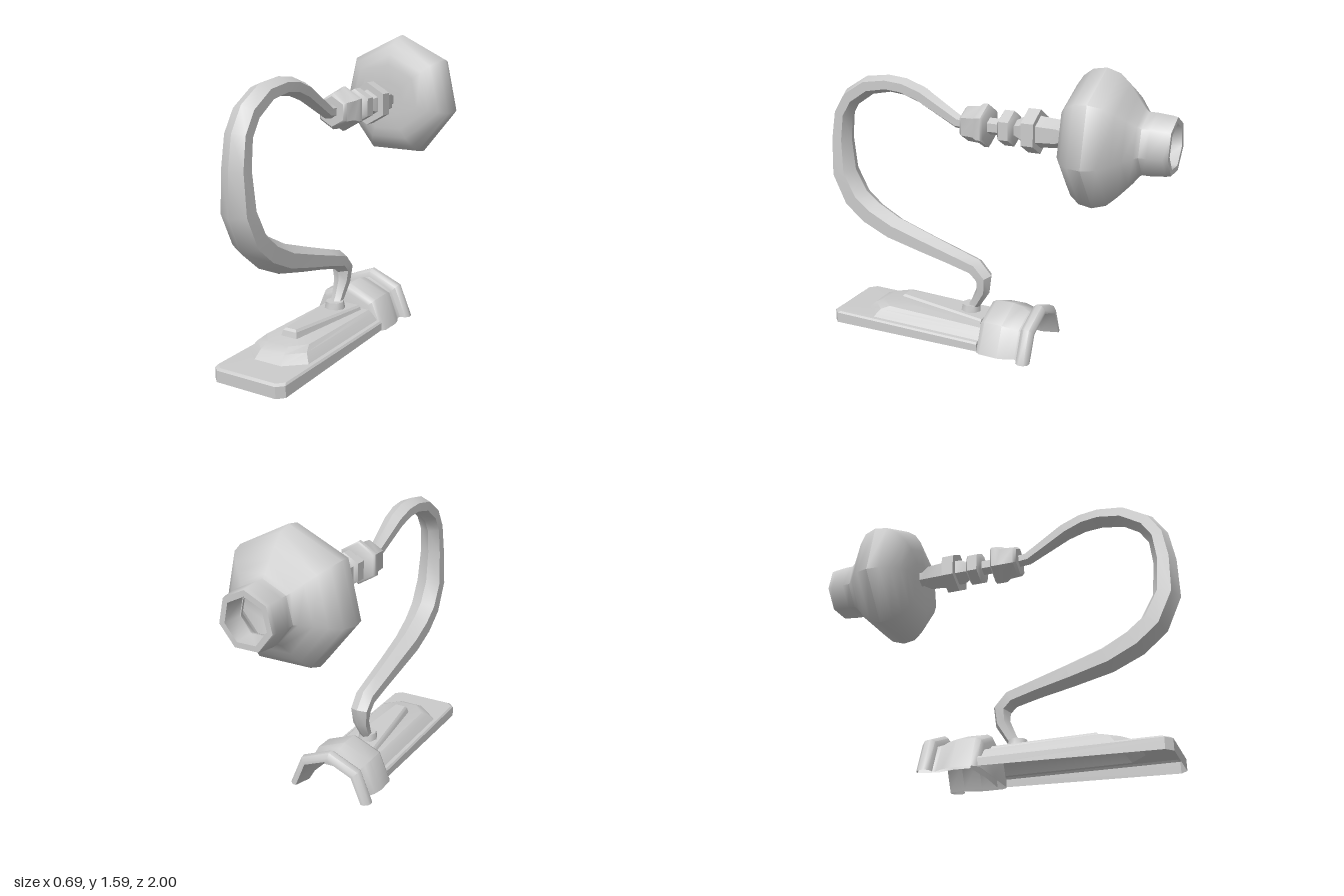
import * as THREE from 'three';
import { toCreasedNormals } from 'three/addons/utils/BufferGeometryUtils.js';

const material = new THREE.MeshStandardMaterial({ color: 0xcccccc, side: THREE.DoubleSide });

function addMesh(group, name, geometry, crease = 0.8) {
  const mesh = new THREE.Mesh(toCreasedNormals(geometry, crease), material);
  mesh.name = name;
  group.add(mesh);
  return mesh;
}

// Turned part lying along z; profile is [z, radius], one corner points up.
function turned(profile, sides, start = Math.PI, length = Math.PI * 2) {
  const points = profile.map(([z, r]) => new THREE.Vector2(r, z));
  return new THREE.LatheGeometry(points, sides, start, length).rotateX(Math.PI / 2);
}

// Skin over closed cross-section loops, with optional fan caps.
function loft(loops, capStart, capEnd) {
  const n = loops[0].length, index = [];
  const position = loops.flat(2);
  for (let i = 0; i < loops.length - 1; i++) {
    for (let j = 0; j < n; j++) {
      const a = i * n + j, b = i * n + (j + 1) % n;
      index.push(a, b, b + n, a, b + n, a + n);
    }
  }
  const last = (loops.length - 1) * n;
  for (let j = 1; j < n - 1; j++) {
    if (capStart) index.push(0, j + 1, j);
    if (capEnd) index.push(last, last + j, last + j + 1);
  }
  const geometry = new THREE.BufferGeometry();
  geometry.setAttribute('position', new THREE.Float32BufferAttribute(position, 3));
  geometry.setIndex(index);
  return geometry;
}

// Plate outline with cut front corners: half width, front z, back z, cut in x and z, front and back heights.
function outline(w, front, back, cx, cz, yFront, yBack = yFront) {
  const points = [[-w, back], [-w, front - cz], [-w + cx, front], [w - cx, front], [w, front - cz], [w, back]];
  return points.map(([x, z]) => [x, yBack + (yFront - yBack) * (z - back) / (front - back), z]);
}

export function createModel() {
  const model = new THREE.Group();
  model.name = 'lamp';

  // Base: hollow plate rising to a stepped platform, open underneath
  const base = addMesh(model, 'basePlate', loft([
    outline(0.21, 0.92, -0.03, 0.035, 0.035, 0.0, 0.02),
    outline(0.208, 0.92, -0.03, 0.035, 0.035, 0.06),
    outline(0.2, 0.905, -0.03, 0.035, 0.035, 0.07),
    outline(0.18, 0.74, -0.03, 0.1, 0.09, 0.072),
    outline(0.15, 0.7, -0.03, 0.08, 0.08, 0.115, 0.11),
    outline(0.13, 0.65, -0.03, 0.07, 0.08, 0.137, 0.125),
  ], false, true), 0.45);
  base.position.x = 0.007;

  // Tapered ridge on the platform
  const ridge = (grow, yFront, yBack) => [
    [-0.085 - grow, yBack, 0.0], [-0.03 - grow, yFront, 0.53 + grow],
    [0.03 + grow, yFront, 0.53 + grow], [0.085 + grow, yBack, 0.0]];
  addMesh(model, 'baseRidge', loft([
    ridge(0.02, 0.125, 0.115), ridge(0.01, 0.165, 0.14), ridge(0, 0.177, 0.15),
  ], false, true), 0.4);

  // Half-round cup at the back of the base, open to the rear
  const cup = addMesh(model, 'rearCup', turned([
    [-0.02, 0], [-0.02, 0.19], [-0.03, 0.215], [-0.055, 0.23], [-0.16, 0.232], [-0.21, 0.22],
    [-0.25, 0.2], [-0.268, 0.205], [-0.275, 0.235], [-0.295, 0.25], [-0.325, 0.247],
    [-0.345, 0.225], [-0.345, 0.205], [-0.25, 0.175], [-0.16, 0.195], [-0.07, 0.19], [-0.06, 0],
  ].reverse(), 4, Math.PI / 2, Math.PI));
  cup.position.y = 0.015;

  // Foot under the arm
  const foot = addMesh(model, 'armFoot', new THREE.CylinderGeometry(0.05, 0.06, 0.05, 8));
  foot.position.set(0, 0.168, 0.11);

  // Curved arm: [z, y, half thickness, half width]
  const path = [
    [0.1, 1.235, 0.038, 0.03], [0.18, 1.24, 0.038, 0.032], [0.4, 1.365, 0.047, 0.048],
    [0.5, 1.4, 0.047, 0.054], [0.6, 1.41, 0.047, 0.058], [0.73, 1.39, 0.052, 0.06],
    [0.85, 1.315, 0.055, 0.06], [0.91, 1.22, 0.055, 0.06], [0.932, 1.07, 0.06, 0.063],
    [0.925, 0.87, 0.073, 0.075], [0.85, 0.72, 0.08, 0.075], [0.745, 0.635, 0.08, 0.072],
    [0.6, 0.565, 0.075, 0.067], [0.4, 0.508, 0.065, 0.06], [0.22, 0.46, 0.055, 0.056],
    [0.08, 0.42, 0.052, 0.052], [0.028, 0.365, 0.05, 0.05], [0.032, 0.29, 0.04, 0.04],
    [0.08, 0.2, 0.03, 0.03], [0.1, 0.17, 0.03, 0.03]];
  const rings = path.map(([z, y, t, w], i) => {
    const p = path[Math.max(i - 1, 0)], q = path[Math.min(i + 1, path.length - 1)];
    const dz = q[0] - p[0], dy = q[1] - p[1], len = Math.hypot(dz, dy);
    const nz = -dy / len, ny = dz / len; // towards the outside of the bend
    return [[0, 1], [w, 0.5], [w, -0.5], [0, -1], [-w, -0.5], [-w, 0.5]]
      .map(([x, s]) => [x, y + ny * s * t, z + nz * s * t]);
  });
  addMesh(model, 'arm', loft(rings, true, true), 0.6);

  // Fittings between arm and shade
  const fittings = new THREE.Group();
  fittings.name = 'socketFittings';
  fittings.position.y = 1.235;
  model.add(fittings);
  const parts = {
    armCollar: [[-0.01, 0], [-0.01, 0.105], [0, 0.117], [0.025, 0.117], [0.05, 0.1], [0.12, 0.095], [0.135, 0.08], [0.135, 0]],
    neck: [[-0.17, 0.045], [0, 0.045]],
    knob: [[-0.165, 0], [-0.165, 0.07], [-0.15, 0.095], [-0.095, 0.095], [-0.08, 0.07], [-0.08, 0]],
    flare: [[-0.235, 0.08], [-0.215, 0.075], [-0.16, 0.045]],
    flange: [[-0.298, 0], [-0.298, 0.117], [-0.23, 0.117], [-0.23, 0]],
    spindle: [[-0.49, 0.045], [-0.45, 0.045], [-0.4, 0.075], [-0.33, 0.08], [-0.295, 0.085]],
  };
  for (const [name, profile] of Object.entries(parts)) addMesh(fittings, name, turned(profile, 6));

  // Seven-sided bulbous shade with an open rear collar
  const shade = addMesh(model, 'shade', turned([
    [-0.9, 0.1], [-0.9, 0.105], [-1.0, 0.115], [-1.0, 0.145], [-0.975, 0.15], [-0.9, 0.157],
    [-0.86, 0.157], [-0.84, 0.172], [-0.8, 0.225], [-0.76, 0.28], [-0.71, 0.33], [-0.64, 0.3525],
    [-0.57, 0.342], [-0.52, 0.305], [-0.485, 0.25], [-0.47, 0.19], [-0.465, 0.1], [-0.465, 0],
  ], 7), 0.95);
  shade.position.y = 1.238;
  // Inner wall seen through the collar
  const liner = addMesh(model, 'shadeLiner', turned([
    [-0.9, 0.1], [-0.86, 0.12], [-0.76, 0.25], [-0.64, 0.32], [-0.52, 0.28], [-0.49, 0.17], [-0.485, 0],
  ], 7), 0.95);
  liner.position.y = 1.238;

  return model;
}
